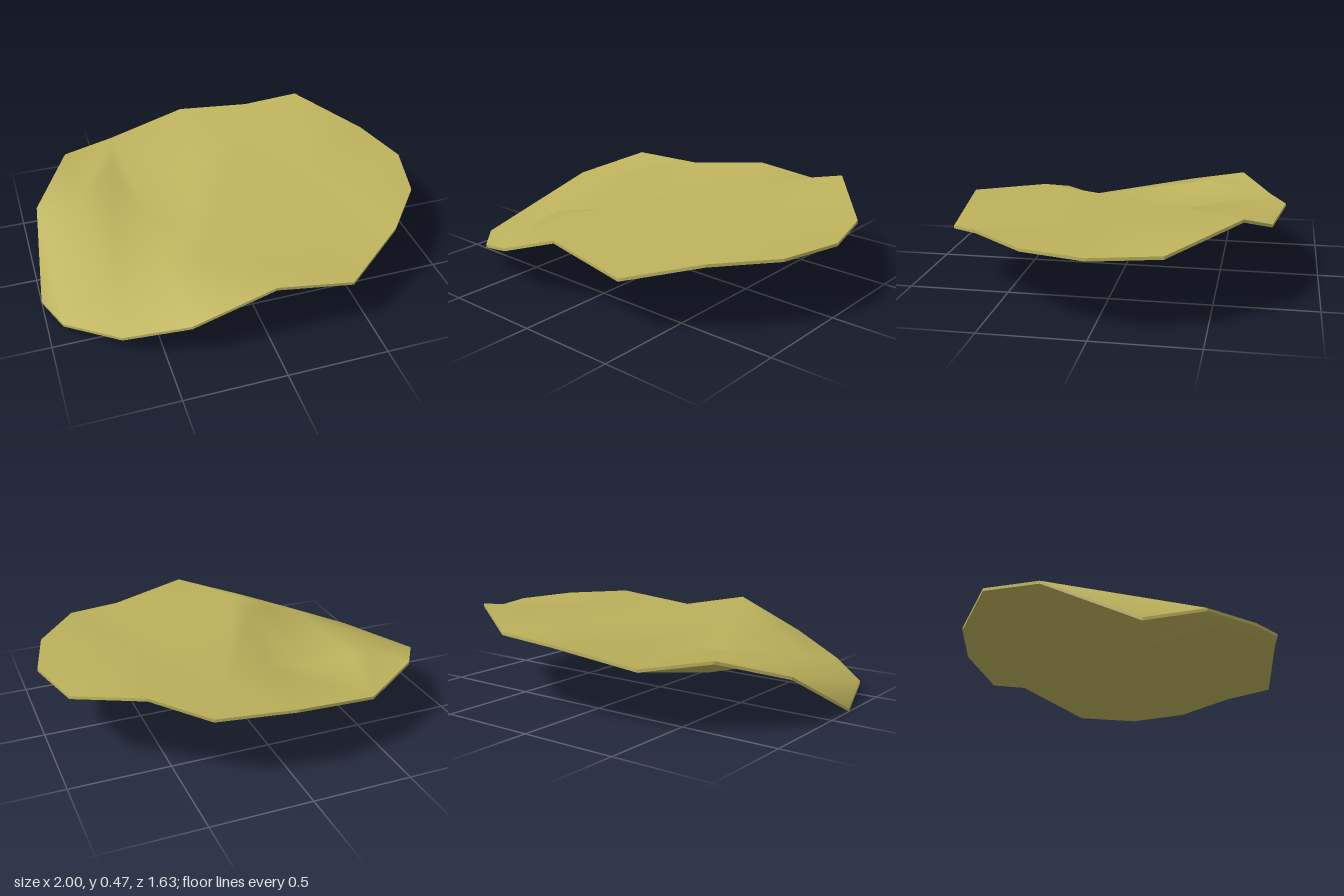
import * as THREE from 'three';

// Outline of the sheet, clockwise from above: x, top height, z
const RIM = [
  [1, .375, 0], [.92, .375, .31], [.7, .375, .58], [.39, .293, .8],
  [0, .375, .815], [-.39, .225, .79], [-.69, .13, .67], [-.93, .085, .45],
  [-1, .015, .18], [-.93, .255, -.27], [-.72, .355, -.575], [-.43, .308, -.74],
  [0, .375, -.82], [.38, .375, -.76], [.64, .47, -.635], [.92, .375, -.32],
];
// Dents and bumps inside the outline (points 16 to 25)
const INNER = [
  [-.65, .18, .42], [-.5, .35, -.395], [-.38, .173, -.11], [-.1, .285, -.25],
  [.22, .37, -.49], [-.22, .365, .49], [.5, .372, 0], [-.7, .275, -.24],
  [-.41, .31, .4], [-.24, .33, .29],
];
const FACES = [
  [7, 8, 9], [6, 7, 16], [7, 9, 16], [9, 16, 23], [16, 17, 23], [9, 10, 23],
  [10, 11, 23], [11, 17, 23], [16, 17, 18], [11, 17, 18], [11, 18, 19], [11, 12, 19],
  [12, 19, 20], [12, 13, 20], [13, 14, 20], [14, 20, 22], [14, 15, 22], [15, 0, 22],
  [0, 1, 22], [1, 2, 22], [2, 3, 22], [16, 18, 24], [18, 24, 25], [21, 24, 25],
  [5, 6, 16], [5, 16, 24], [5, 21, 24], [4, 5, 21], [3, 4, 21], [3, 20, 21],
  [20, 21, 25], [18, 19, 25], [19, 20, 25], [3, 20, 22],
];
const THICKNESS = 0.015;
const POINTS = [...RIM, ...INNER];

function makeGeometry(points, index) {
  const g = new THREE.BufferGeometry();
  g.setAttribute('position', new THREE.Float32BufferAttribute(points.flat(), 3));
  g.setIndex(index);
  g.computeVertexNormals();
  return g;
}

// Upper or lower skin, with every triangle turned to face up or down
function skin(drop, up) {
  const index = FACES.flatMap(([a, b, c]) => {
    const [p, q, r] = [POINTS[a], POINTS[b], POINTS[c]];
    const ny = (q[2] - p[2]) * (r[0] - p[0]) - (q[0] - p[0]) * (r[2] - p[2]);
    return (ny > 0) === up ? [a, b, c] : [a, c, b];
  });
  return makeGeometry(POINTS.map(([x, y, z]) => [x, y - drop, z]), index);
}

// Thin wall around the outline, flat on each side
function wall() {
  const points = [], index = [];
  RIM.forEach(([x, y, z], i) => {
    const [x2, y2, z2] = RIM[(i + 1) % RIM.length];
    const k = points.length;
    points.push([x, y, z], [x2, y2, z2], [x2, y2 - THICKNESS, z2], [x, y - THICKNESS, z]);
    index.push(k, k + 1, k + 2, k, k + 2, k + 3);
  });
  return makeGeometry(points, index);
}

export function createModel() {
  const group = new THREE.Group();
  group.name = 'warpedSheet';
  const material = new THREE.MeshStandardMaterial({ color: 0xbdb25c });
  const add = (name, geometry) => {
    const mesh = new THREE.Mesh(geometry, material);
    mesh.name = name;
    group.add(mesh);
  };
  add('upperSurface', skin(0, true));
  add('lowerSurface', skin(THICKNESS, false));
  add('rimEdge', wall());
  return group;
}
